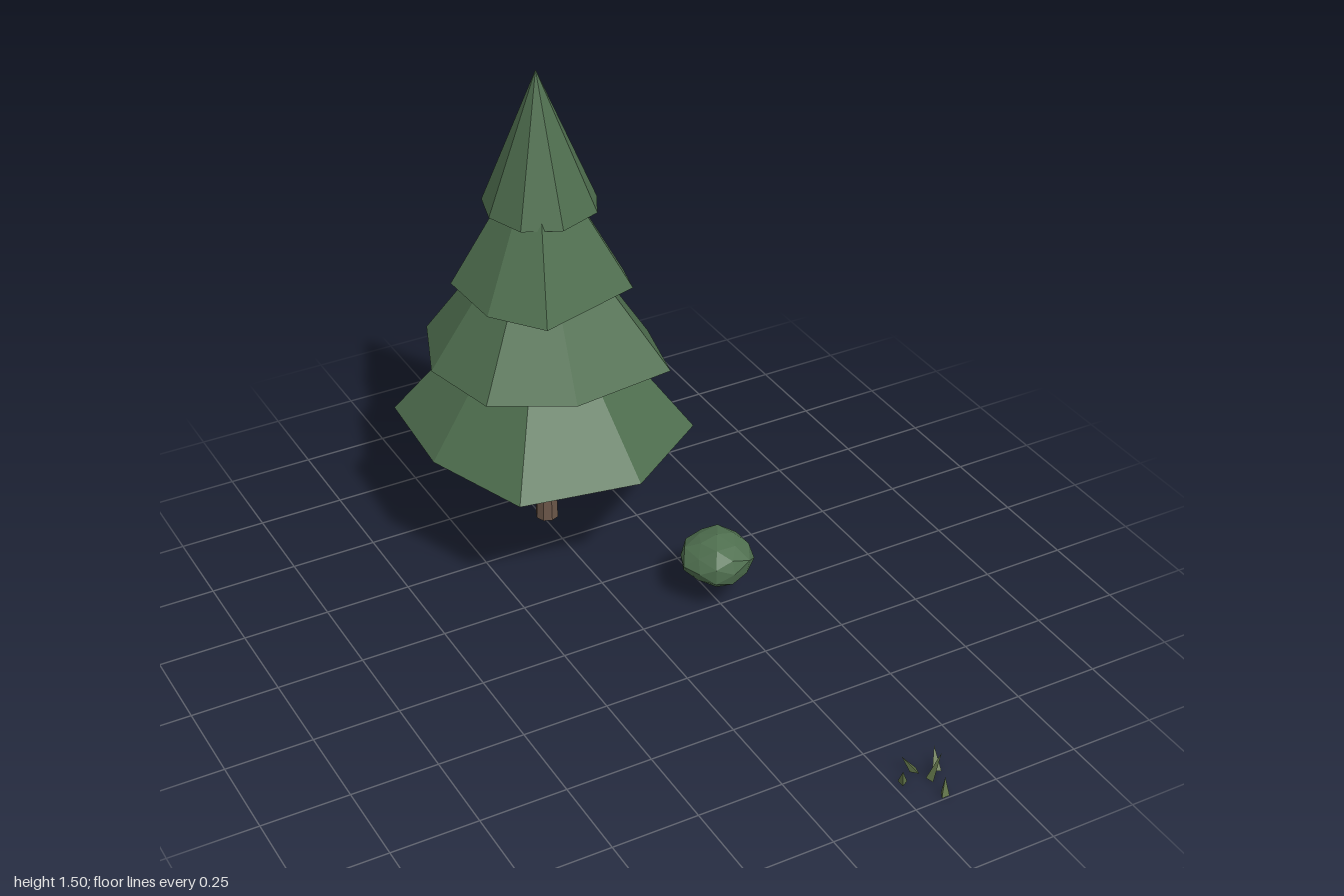
import * as THREE from 'three';

const mat = (name, color) => {
  const m = new THREE.MeshStandardMaterial({ color, flatShading: true });
  m.name = name;
  return m;
};

// Closed pyramid over an irregular ring of [x, z] corners, listed clockwise from above
function pyramid(ring, y, apex) {
  const pos = [];
  const cx = ring.reduce((s, p) => s + p[0], 0) / ring.length;
  const cz = ring.reduce((s, p) => s + p[1], 0) / ring.length;
  ring.forEach(([ax, az], i) => {
    const [bx, bz] = ring[(i + 1) % ring.length];
    pos.push(...apex, bx, y, bz, ax, y, az);
    pos.push(cx, y, cz, ax, y, az, bx, y, bz);
  });
  const g = new THREE.BufferGeometry();
  g.setAttribute('position', new THREE.Float32BufferAttribute(pos, 3));
  g.computeVertexNormals();
  return g;
}

export function createModel() {
  const model = new THREE.Group();
  const foliage = mat('foliage green', 0x4f6f4f);
  const bark = mat('bark brown', 0x6b5648);
  const grass = mat('grass green', 0x62754a);

  const add = (parent, name, geometry, material) => {
    const mesh = new THREE.Mesh(geometry, material);
    mesh.name = name;
    parent.add(mesh);
    return mesh;
  };

  // Tree: tapered trunk and four uneven eight-sided tiers
  const tree = new THREE.Group();
  tree.name = 'tree';
  model.add(tree);
  const trunk = add(tree, 'trunk', new THREE.CylinderGeometry(0.022, 0.034, 0.44, 8), bark);
  trunk.position.set(-0.022, 0.28, -0.555);

  const tiers = [
    { y: 0.4, top: 0.93, ring: [[-0.1, -1], [0.19, -0.86], [0.335, -0.625], [0.335, -0.315],
      [0.06, -0.125], [-0.285, -0.185], [-0.4, -0.5], [-0.38, -0.815]] },
    { y: 0.625, top: 1.13, ring: [[-0.255, -0.84], [0.02, -0.86], [0.26, -0.77], [0.295, -0.515],
      [0.245, -0.29], [-0.07, -0.25], [-0.29, -0.37], [-0.345, -0.61]] },
    { y: 0.855, top: 1.3, ring: [[-0.1, -0.765], [0.08, -0.78], [0.18, -0.716], [0.21, -0.503],
      [0.185, -0.4], [-0.13, -0.305], [-0.24, -0.45], [-0.25, -0.665]] },
    { y: 1.08, top: 1.5, ring: [[-0.025, -0.73], [0.09, -0.69], [0.155, -0.555], [0.11, -0.465],
      [-0.02, -0.415], [-0.125, -0.465], [-0.165, -0.58], [-0.135, -0.69]] },
  ];
  tiers.forEach(({ y, top, ring }, i) =>
    add(tree, `foliageTier${i + 1}`, pyramid(ring, y, [-0.022, top, -0.56]), foliage));

  // Bush: faceted ball with a gentle position-based wobble
  const ball = new THREE.IcosahedronGeometry(1, 1);
  const p = ball.attributes.position;
  for (let i = 0; i < p.count; i++) {
    const x = p.getX(i), y = p.getY(i), z = p.getZ(i);
    const k = 1 + 0.07 * Math.sin(5 * x + 3 * y + 1) * Math.cos(4 * z - 2 * y);
    p.setXYZ(i, x * k * 0.102, y * k * 0.075, z * k * 0.106);
  }
  ball.computeVertexNormals();
  add(model, 'bush', ball, foliage).position.set(0.255, 0.143, -0.034);

  // Grass tuft: leaning three-sided blades given as base x, z and tip x, y, z
  const tuft = new THREE.Group();
  tuft.name = 'grassTuft';
  model.add(tuft);
  [
    [0.278, 0.895, 0.265, 0.055, 0.912],
    [0.332, 0.872, 0.295, 0.055, 0.86],
    [0.345, 0.988, 0.35, 0.055, 0.98],
    [0.352, 0.918, 0.37, 0.09, 0.93],
    [0.386, 0.893, 0.395, 0.055, 0.862],
  ].forEach(([bx, bz, tx, ty, tz], i) => {
    const ring = [0, 1, 2].map(k => {
      const a = i * 1.3 + k * Math.PI * 2 / 3;
      return [bx + 0.014 * Math.cos(a), bz + 0.014 * Math.sin(a)];
    });
    add(tuft, `blade${i + 1}`, pyramid(ring, 0, [tx, ty, tz]), grass);
  });

  return model;
}
